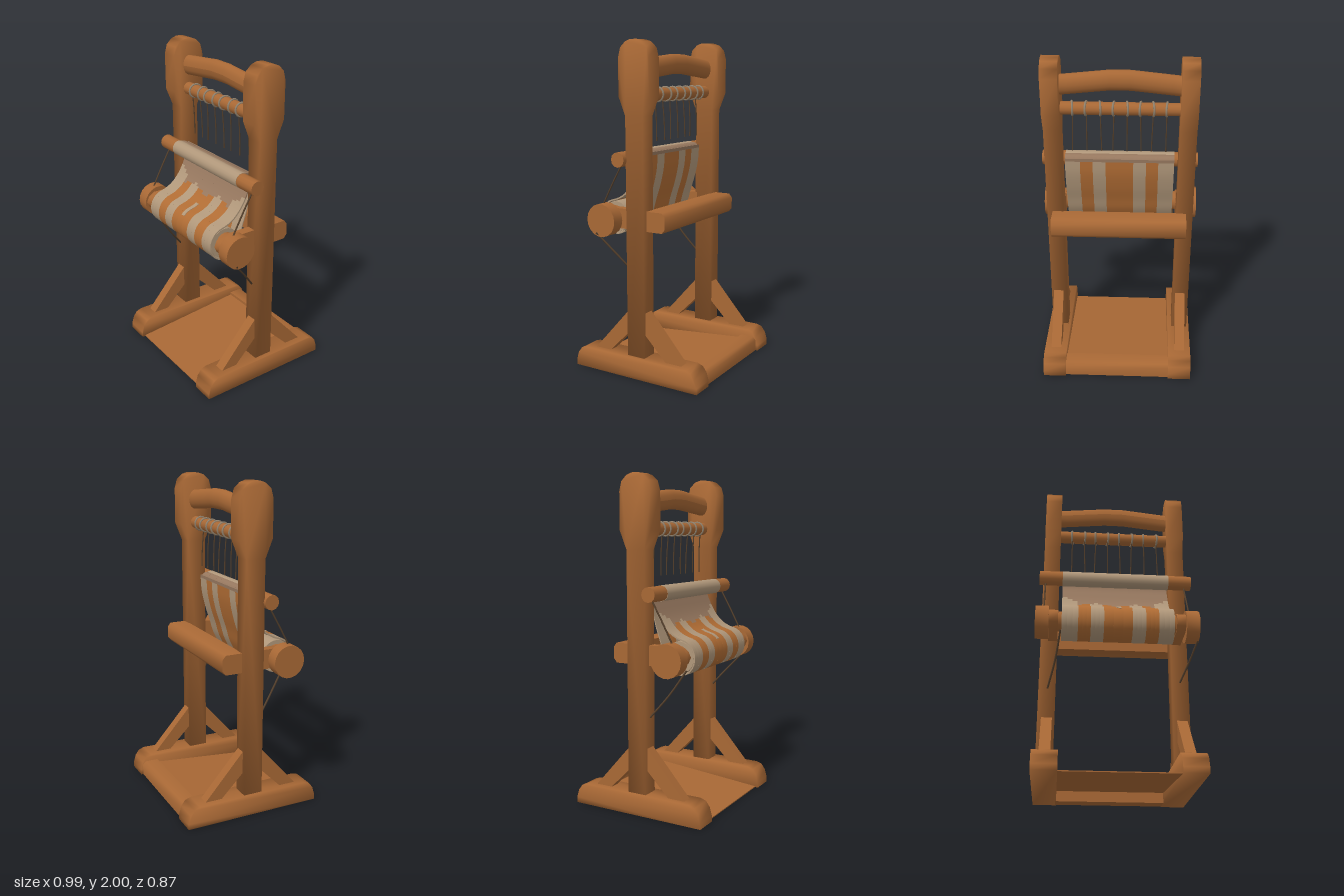
import * as THREE from 'three';
import { toCreasedNormals } from 'three/addons/utils/BufferGeometryUtils.js';

const material = (name, color, side = THREE.FrontSide) => {
  const m = new THREE.MeshStandardMaterial({ color, side });
  m.name = name;
  return m;
};

export function createModel() {
  const wood = material('wood', 0xa86835);
  const tan = material('tan cloth', 0xb0977a, THREE.DoubleSide);
  const orange = material('orange cloth', 0xb06c34, THREE.DoubleSide);
  const mauve = material('grey brown cloth', 0x97785f, THREE.DoubleSide);
  const cord = material('dark cord', 0x55402c);
  const twine = material('grey twine', 0x93836e);

  const model = new THREE.Group();
  model.name = 'loom';
  const add = (name, geometry, mat, x = 0, y = 0, z = 0) => {
    const mesh = new THREE.Mesh(geometry, mat);
    mesh.name = name;
    mesh.position.set(x, y, z);
    model.add(mesh);
    return mesh;
  };

  // side profile of [z, y] points, extruded to a width along x; a wide crease angle gives soft shading
  const slab = (points, width, crease = 1.7) => {
    const shape = new THREE.Shape(points.map(([z, y]) => new THREE.Vector2(z, y)));
    const g = new THREE.ExtrudeGeometry(shape, { depth: width, bevelEnabled: false });
    g.translate(0, 0, -width / 2);
    g.rotateY(-Math.PI / 2);
    return toCreasedNormals(g, crease);
  };
  const mirrored = (half) => [...half, ...half.map(([z, y]) => [-z, y]).reverse()];
  const rod = (r, length, sides = 14) =>
    new THREE.CylinderGeometry(r, r, length, sides).rotateZ(Math.PI / 2);
  const string = (points, r) => new THREE.TubeGeometry(
    new THREE.CatmullRomCurve3(points.map((p) => new THREE.Vector3(...p))), 8, r, 6);

  // uprights, runners, braces, roller arms and knobs on both sides
  const post = mirrored([[0.06, 0.02], [0.06, 1.57], [0.105, 1.68], [0.105, 1.9],
    [0.09, 1.955], [0.055, 1.988], [0.02, 2]]);
  const runner = mirrored([[0.435, 0], [0.435, 0.035], [0.42, 0.085], [0.395, 0.118], [0.36, 0.13]]);
  const arm = [[0.05, 0.9], [0.25, 0.9], [0.29, 0.925], [0.306, 0.96], [0.29, 0.995], [0.25, 1.02], [0.05, 1.02]];
  for (const s of [-1, 1]) {
    add('post', slab(post, 0.102), wood, -0.011 + s * 0.402);
    add('runner', slab(runner, 0.144), wood, -0.006 + s * 0.402);
    for (const d of [1, -1]) {
      const brace = [[0.05, 0.28], [0.22, 0.11], [0.325, 0.11], [0.05, 0.42]].map(([z, y]) => [z * d, y]);
      add(d > 0 ? 'frontBrace' : 'backBrace', slab(brace, 0.064, 0.9), wood, -0.007 + s * 0.402);
    }
    add('rollerArm', slab(arm, 0.056, 0.9), wood, -0.007 + s * 0.382);
    add('rollerKnob', toCreasedNormals(rod(0.1, 0.08, 18), 0.7), wood, -0.006 + s * 0.45, 0.95, 0.217);
  }

  // base: thin sloping board, back rail, and the beam behind the posts
  add('baseBoard', slab([[0.415, 0], [0.415, 0.006], [-0.33, 0.072], [-0.33, 0.064]], 0.67, 0.9), wood, -0.006);
  add('backRail', slab([[-0.315, 0], [-0.315, 0.09], [-0.4, 0.09], [-0.42, 0.07], [-0.42, 0]], 0.67, 0.9), wood, -0.006);
  const beam = [[-0.055, 0.9], [-0.165, 0.9], [-0.185, 0.925], [-0.185, 0.995], [-0.165, 1.02], [-0.055, 1.02]];
  add('backBeam', slab(beam, 0.83, 0.9), wood, -0.006);

  // top rail: an oval bar raised towards a flat middle
  const arch = new THREE.CylinderGeometry(0.061, 0.061, 0.74, 14, 12).rotateZ(Math.PI / 2);
  arch.scale(1, 1, 0.7);
  const p = arch.attributes.position;
  for (let i = 0; i < p.count; i++) {
    p.setY(i, p.getY(i) + 0.032 * Math.min(1, 1.2 * (1 - Math.abs(p.getX(i)) / 0.37)));
  }
  arch.computeVertexNormals();
  add('topRail', arch, wood, -0.011, 1.833, -0.006);

  // heddle rod with knotted loops and hanging threads
  add('heddleRod', rod(0.039, 0.74), wood, -0.011, 1.688, 0);
  [-0.285, -0.205, -0.13, -0.052, 0.027, 0.108, 0.19, 0.272].forEach((x, i) => {
    const ring = add('heddleLoop', new THREE.TorusGeometry(0.041, 0.007, 6, 16), twine, x, 1.688, 0);
    ring.rotation.y = Math.PI / 2 + (i % 2 ? 0.12 : -0.12);
    const lean = 0.008 * Math.sin(i * 2.1);
    add('heddleThread', string([[x, 1.65, 0.02], [x + lean / 2, 1.53, 0.012], [x + lean, 1.41, 0.01]], 0.0035), cord);
  });

  // cloth bar with its wrapped middle, and the spindle and rolled cloth below
  add('clothBar', rod(0.045, 0.96, 12), wood, -0.006, 1.318, 0.097);
  add('clothWrap', rod(0.047, 0.67, 16), tan, -0.006, 1.318, 0.097);
  add('spindle', rod(0.06, 0.74, 16), wood, -0.006, 0.96, 0.217);
  add('clothRoll', rod(0.094, 0.664, 24), tan, -0.005, 0.95, 0.217);

  // cloth follows [z, y] curves and is cut into coloured stripes
  const path = (pts) => new THREE.CatmullRomCurve3(pts.map(([z, y]) => new THREE.Vector3(0, y, z)));
  const around = (a0, a1, n) => Array.from({ length: n + 1 }, (_, i) => {
    const a = a0 + (a1 - a0) * i / n;
    return [0.217 + 0.105 * Math.cos(a), 0.95 + 0.108 * Math.sin(a)];
  });
  const front = path([[0.09, 1.35], [0.05, 1.345], [0.036, 1.305], [0.065, 1.222], [0.105, 1.15],
    [0.155, 1.095], [0.205, 1.066], ...around(1.15, -2.2, 14)]);
  const back = path([[0.155, 0.865], [0.112, 0.95], [0.088, 1.03], [0.055, 1.13], [0.03, 1.24], [0.022, 1.345]]);

  // thin bent plate between two fractions of a curve, from inner to outer offset along its normal
  const strip = (name, curve, u0, u1, x0, x1, mat, inner = -0.009, outer = 0) => {
    const g = new THREE.BoxGeometry(1, 1, 1, 1, 28, 1);
    const pos = g.attributes.position;
    for (let i = 0; i < pos.count; i++) {
      const u = u0 + (u1 - u0) * (0.5 - pos.getY(i));
      const q = curve.getPointAt(u);
      const t = curve.getTangentAt(u);
      const d = pos.getZ(i) > 0 ? outer : inner;
      pos.setXYZ(i, pos.getX(i) < 0 ? x0 : x1, q.y + d * t.z, q.z - d * t.y);
    }
    g.computeVertexNormals();
    add(name, g, mat);
  };
  const fractionAtHeight = (y) => {
    let u = 0;
    while (u < 1 && front.getPointAt(u).y > y) u += 0.002;
    return u;
  };

  // stripe edges; each stripe starts at three heights on the front, for a stepped upper outline
  const edges = [-0.34, -0.243, -0.168, -0.09, 0.08, 0.16, 0.238, 0.33];
  const starts = [[1.2, 1.185, 1.165], [1.12, 1.135, 1.135], [1.135, 1.15, 1.135], [1.13, 1.115, 1.13],
    [1.135, 1.15, 1.135], [1.135, 1.135, 1.12], [1.165, 1.175, 1.2]];
  starts.forEach((heights, i) => {
    const [x0, x1] = [edges[i], edges[i + 1]];
    const colour = i % 2 ? orange : tan;
    heights.forEach((y, j) => {
      const u = fractionAtHeight(y);
      const [a, b] = [x0 + (x1 - x0) * j / 3, x0 + (x1 - x0) * (j + 1) / 3];
      strip('clothUpper', front, 0, u, a, b, mauve);
      strip('clothStripe', front, u, 1, a, b, colour);
    });
    strip('clothBackStripe', back, 0, 0.96, x0, x1, colour, -0.006);
    strip('clothBackHem', back, 0.96, 1, x0, x1, mauve, -0.006);
  });

  // small woven mark in the middle of the front
  strip('clothMark', front, fractionAtHeight(1.075), fractionAtHeight(1.025), -0.014, 0.014, tan, 0, 0.003);

  // cords from the bar to the roller and the loose ends below
  for (const x of [-0.448, 0.43])
    add('barCord', string([[x, 1.3, 0.09], [x, 1.17, 0.165], [x, 1.04, 0.235]], 0.005), cord);
  add('looseCord', string([[-0.345, 0.88, 0.27], [-0.37, 0.73, 0.17], [-0.41, 0.59, 0.06]], 0.006), cord);
  add('looseCord', string([[0.485, 0.875, 0.25], [0.44, 0.76, 0.15], [0.39, 0.65, 0.06]], 0.006), cord);

  return model;
}
